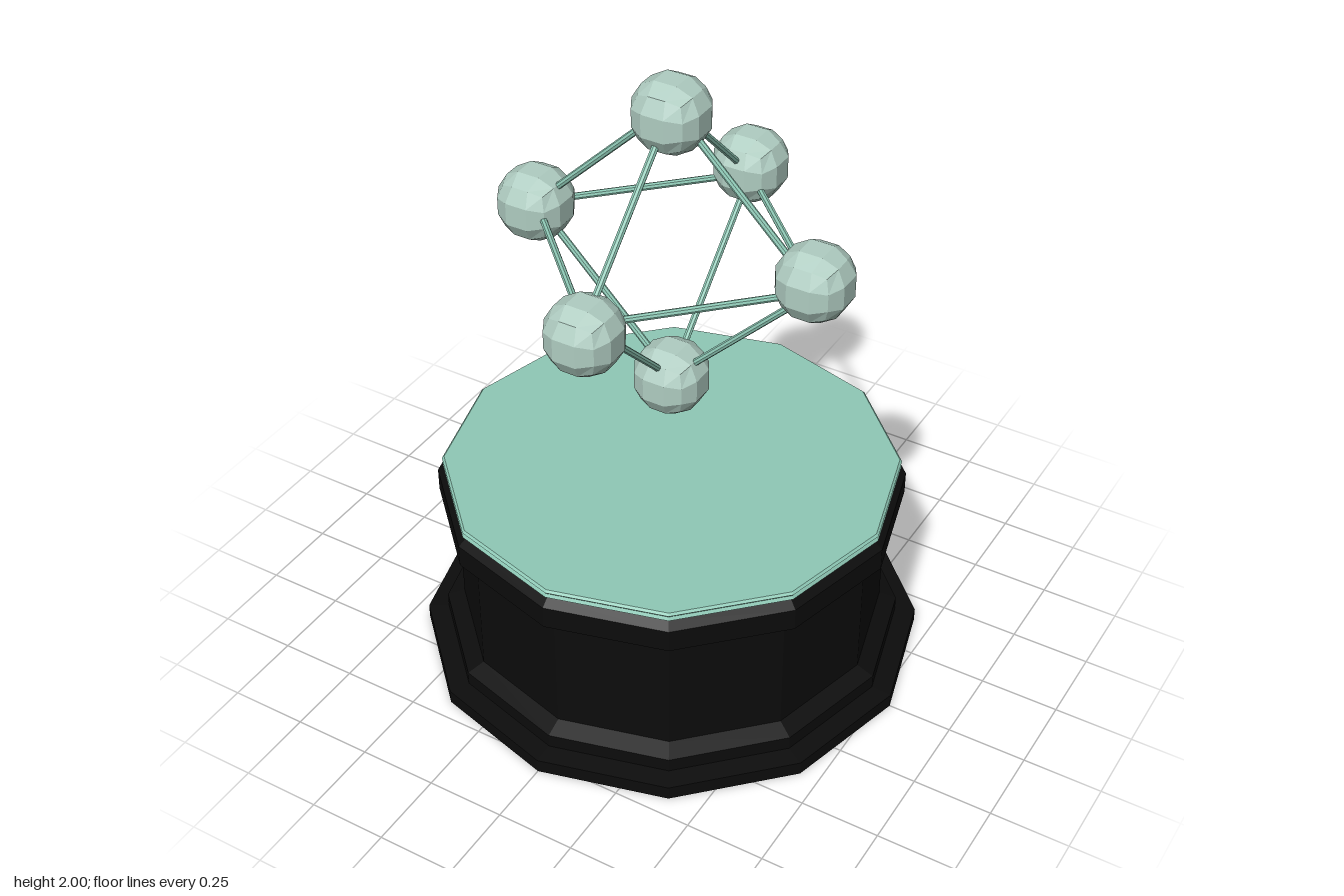
import * as THREE from 'three';

const mat = (name, color) => {
  const m = new THREE.MeshStandardMaterial({ color, flatShading: true });
  m.name = name;
  return m;
};

export function createModel() {
  const black = mat('black', 0x0c0c0c);
  const teal = mat('teal', 0x8fc9b6);
  const pale = mat('paleGreen', 0xb0cdc2);
  const group = new THREE.Group();
  const add = (name, geometry, material) => {
    const mesh = new THREE.Mesh(geometry, material);
    mesh.name = name;
    group.add(mesh);
    return mesh;
  };

  // Twelve-sided turned parts, profile given as [radius, height]
  const turned = (points) =>
    new THREE.LatheGeometry(points.map(([r, y]) => new THREE.Vector2(r, y)), 12);

  add('pedestal', turned([
    [0, 0], [0.795, 0], [0.795, 0.045], [0.73, 0.05], [0.73, 0.095], [0.675, 0.118],
    [0.675, 0.515], [0.73, 0.542], [0.73, 0.615], [0.705, 0.637], [0, 0.637],
  ]), black);
  add('topPlate', turned([
    [0, 0.637], [0.705, 0.637], [0.715, 0.645], [0.709, 0.655], [0.715, 0.662], [0.708, 0.669], [0, 0.669],
  ]), teal);

  // Ball: a subdivided cube pushed out to a sphere
  const ball = new THREE.BoxGeometry(2, 2, 2, 3, 3, 3);
  const pos = ball.attributes.position;
  const v = new THREE.Vector3();
  for (let i = 0; i < pos.count; i++) {
    v.fromBufferAttribute(pos, i).setLength(0.12);
    pos.setXYZ(i, v.x, v.y, v.z);
  }
  ball.computeVertexNormals();
  const balls = {
    topBall: [0, 1.892, 0], bottomBall: [0, 0.99, 0],
    leftBall: [0.467, 1.49, 0], rightBall: [-0.47, 1.457, 0],
    frontBall: [0, 1.425, 0.47], backBall: [0, 1.49, -0.47],
  };
  for (const [name, p] of Object.entries(balls)) add(name, ball, pale).position.set(...p);

  // Rods along the twelve edges of an octahedron
  const up = new THREE.Vector3(0, 1, 0);
  const rod = (name, a, b) => {
    const mesh = add(name, new THREE.CylinderGeometry(0.011, 0.011, a.distanceTo(b), 8), teal);
    mesh.position.lerpVectors(a, b, 0.5);
    mesh.quaternion.setFromUnitVectors(up, b.clone().sub(a).normalize());
  };
  const R = 0.47, mid = 1.455;
  const top = new THREE.Vector3(0, mid + 0.46, 0);
  const bottom = new THREE.Vector3(0, mid - 0.47, 0);
  const ring = [[R, 0], [0, R], [-R, 0], [0, -R]].map(([x, z]) => new THREE.Vector3(x, mid, z));
  ring.forEach((p, i) => {
    rod('ringRod', p, ring[(i + 1) % 4]);
    rod('upperRod', p, top);
    rod('lowerRod', bottom, p);
  });
  return group;
}
